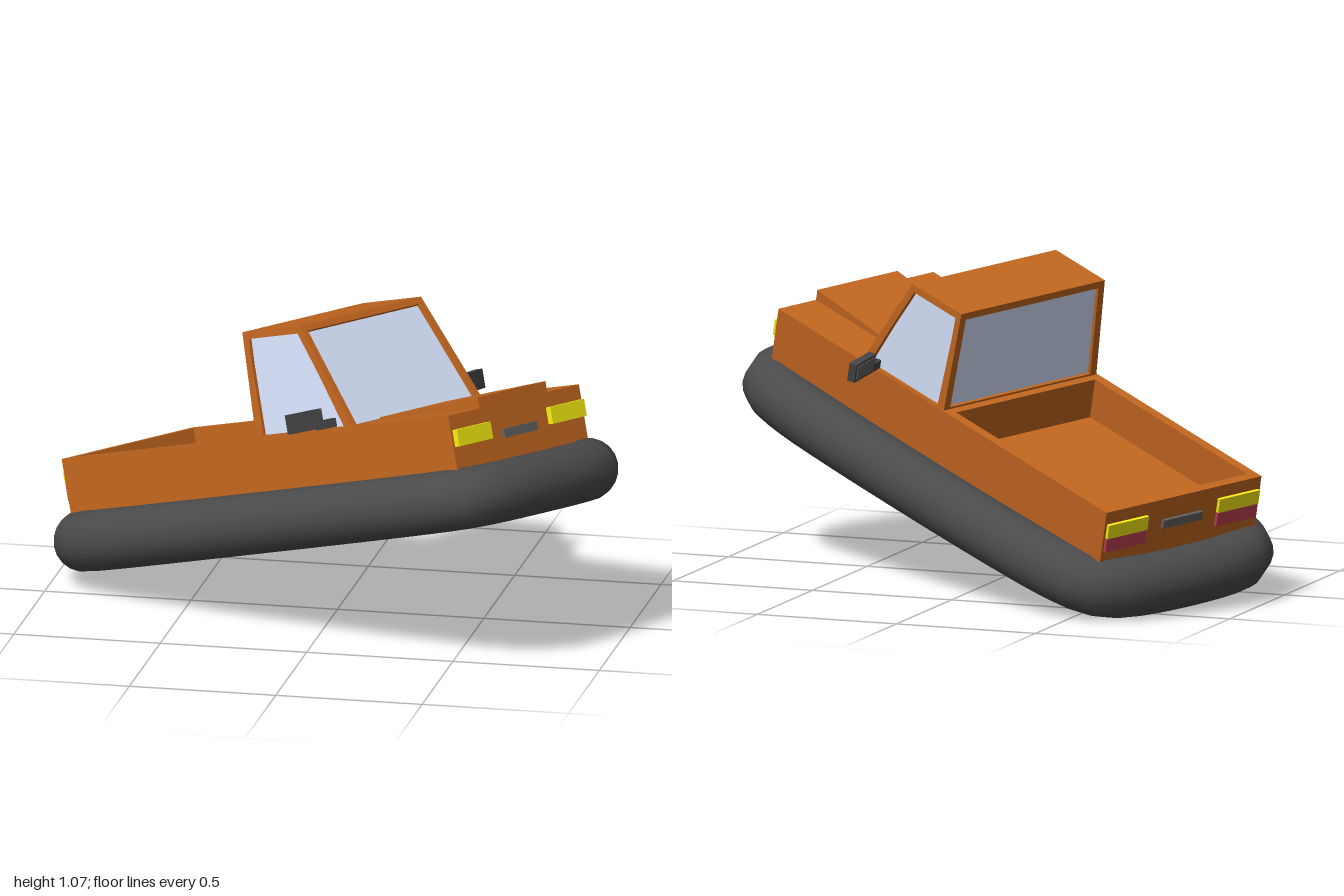
import * as THREE from 'three';

const mat = (color, side = THREE.FrontSide) => new THREE.MeshStandardMaterial({ color, side });
const paint = mat(0xc0651f);
const glass = mat(0xd4e0fa, THREE.DoubleSide);
const rubber = mat(0x4a4a4a);
const yellow = mat(0xf4ea10);
const red = mat(0xc04050);
const grey = mat(0x606060);
const dark = mat(0x444444);

const V = (x, y, z) => new THREE.Vector3(x, y, z);

function add(parent, name, geometry, material) {
  const mesh = new THREE.Mesh(geometry, material);
  mesh.name = name;
  parent.add(mesh);
  return mesh;
}

// Box given by its min and max corners
function box(parent, name, material, [x0, y0, z0], [x1, y1, z1]) {
  const g = new THREE.BoxGeometry(x1 - x0, y1 - y0, z1 - z0);
  g.translate((x0 + x1) / 2, (y0 + y1) / 2, (z0 + z1) / 2);
  return add(parent, name, g, material);
}

// Window: frame with a hole and a recessed pane; corners run
// bottom left, bottom right, top right, top left seen from outside
function windowPanel(parent, name, corners, side, top, bottom) {
  const [a, b, , d] = corners;
  const ex = b.clone().sub(a).normalize();
  const n = ex.clone().cross(d.clone().sub(a)).normalize();
  const ey = n.clone().cross(ex);
  const flat = corners.map((p) => {
    const q = p.clone().sub(a);
    return new THREE.Vector2(q.dot(ex), q.dot(ey));
  });
  const at = (u, v) => flat[0].clone().lerp(flat[1], u).lerp(flat[3].clone().lerp(flat[2], u), v);
  const inner = [at(side, bottom), at(1 - side, bottom), at(1 - side, 1 - top), at(side, 1 - top)];
  const frame = new THREE.Shape(flat);
  frame.holes.push(new THREE.Path(inner));

  const group = new THREE.Group();
  group.name = name;
  const depth = 0.025;
  const frameGeo = new THREE.ExtrudeGeometry(frame, { depth, bevelEnabled: false });
  add(group, 'windowFrame', frameGeo.translate(0, 0, -depth), paint);
  add(group, 'windowGlass', new THREE.ShapeGeometry(new THREE.Shape(inner)).translate(0, 0, -0.013), glass);
  group.applyMatrix4(new THREE.Matrix4().makeBasis(ex, ey, n).setPosition(a));
  parent.add(group);
}

const points = (list) => list.map((p) => new THREE.Vector2(...p));
const rect = (x0, y0, x1, y1) => points([[x0, y0], [x1, y0], [x1, y1], [x0, y1]]);

export function createModel() {
  const craft = new THREE.Group();
  craft.name = 'hoverTruck';
  const W = 0.339, L = 0.865, bedDepth = 0.14;

  // Body: floor slab and upper shell with the cargo bed cut out
  box(craft, 'floor', paint, [-W, -0.235, -L], [W, -bedDepth, L]);
  const shell = new THREE.Shape(rect(-W, -L, W, L));
  shell.holes.push(new THREE.Path(rect(-W + 0.035, 0.03, W - 0.035, L - 0.035)));
  const shellGeo = new THREE.ExtrudeGeometry(shell, { depth: bedDepth, bevelEnabled: false });
  add(craft, 'bodyShell', shellGeo.rotateX(-Math.PI / 2).translate(0, -bedDepth, 0), paint);

  // Hood bulge: wedge rising towards the front
  const wedge = new THREE.Shape(points([[-0.42, 0], [-0.42, 0.007], [-L, 0.037], [-L, 0]]));
  const wedgeGeo = new THREE.ExtrudeGeometry(wedge, { depth: 0.35, bevelEnabled: false });
  add(craft, 'hoodBulge', wedgeGeo.translate(0, 0, -0.175).rotateY(Math.PI / 2), paint);

  // Cab: four window panels under a thin roof
  const cab = new THREE.Group();
  cab.name = 'cab';
  craft.add(cab);
  const bx = 0.334, tx = 0.314, top = 0.353, zf = 0.43, zr = 0.258;
  windowPanel(cab, 'windshield', [V(-bx, 0, zf), V(bx, 0, zf), V(tx, top, zr), V(-tx, top, zr)], 0.04, 0.06, 0.01);
  windowPanel(cab, 'rearWindow', [V(bx, 0, 0), V(-bx, 0, 0), V(-tx, top, 0), V(tx, top, 0)], 0.04, 0.07, 0.02);
  windowPanel(cab, 'leftWindow', [V(bx, 0, zf), V(bx, 0, 0), V(tx, top, 0), V(tx, top, zr)], 0.08, 0.07, 0.01);
  windowPanel(cab, 'rightWindow', [V(-bx, 0, 0), V(-bx, 0, zf), V(-tx, top, zr), V(-tx, top, 0)], 0.08, 0.07, 0.01);
  box(cab, 'roof', paint, [-tx, top - 0.02, 0], [tx, top, zr]);

  // Inflated skirt: one tube around a rounded rectangle with tight corners
  const quarter = [[0.378, 0.4], [0.362, 0.7], [0.337, 0.82], [0.285, 0.885]];
  const flip = (sx, sz) => quarter.map(([x, z]) => V(x * sx, -0.283, z * sz + 0.008));
  const path = new THREE.CatmullRomCurve3([
    ...flip(1, 1), V(0, -0.283, 0.925), ...flip(-1, 1).reverse(),
    ...flip(-1, -1), V(0, -0.283, -0.912), ...flip(1, -1).reverse(),
  ], true, 'centripetal');
  add(craft, 'skirt', new THREE.TubeGeometry(path, 72, 0.103, 20, true), rubber);

  // Lamps and mirrors on both sides
  for (const s of [-1, 1]) {
    const sideBox = (parent, name, material, [x0, x1], [y0, y1], [z0, z1]) =>
      box(parent, name, material, [Math.min(s * x0, s * x1), y0, z0], [Math.max(s * x0, s * x1), y1, z1]);
    sideBox(craft, 'headlight', yellow, [0.155, 0.33], [-0.107, -0.05], [L - 0.01, L + 0.02]);
    sideBox(craft, 'rearLamp', yellow, [0.155, 0.33], [-0.095, -0.045], [-L - 0.012, -L + 0.01]);
    sideBox(craft, 'brakeLamp', red, [0.155, 0.33], [-0.145, -0.095], [-L - 0.01, -L + 0.01]);

    const mirror = new THREE.Group();
    mirror.name = s > 0 ? 'leftMirror' : 'rightMirror';
    mirror.position.set(s * 0.33, 0.005, 0.355);
    mirror.rotation.y = s * 0.33;
    sideBox(mirror, 'mirrorArm', dark, [0, 0.07], [0, 0.03], [-0.01, 0.01]);
    sideBox(mirror, 'mirrorHousing', dark, [0.05, 0.178], [0.005, 0.07], [-0.015, 0.012]);
    sideBox(mirror, 'mirrorGlass', grey, [0.06, 0.168], [0.014, 0.061], [-0.018, -0.01]);
    craft.add(mirror);
  }
  box(craft, 'frontGrille', grey, [-0.085, -0.115, L - 0.01], [0.085, -0.085, L + 0.012]);
  box(craft, 'rearPlate', grey, [-0.085, -0.105, -L - 0.012], [0.085, -0.075, -L + 0.01]);

  // Banked, nose-up pose; the origin is the middle of the deck
  const forward = V(0.857, 0.274, 0.44).normalize();
  const up = forward.clone().cross(V(0.473, -0.071, -0.876)).normalize();
  const left = up.clone().cross(forward);
  craft.applyMatrix4(new THREE.Matrix4().makeBasis(left, up, forward).setPosition(-0.07, 0.631, -0.054));

  const model = new THREE.Group();
  model.name = 'model';
  model.add(craft);
  return model;
}
